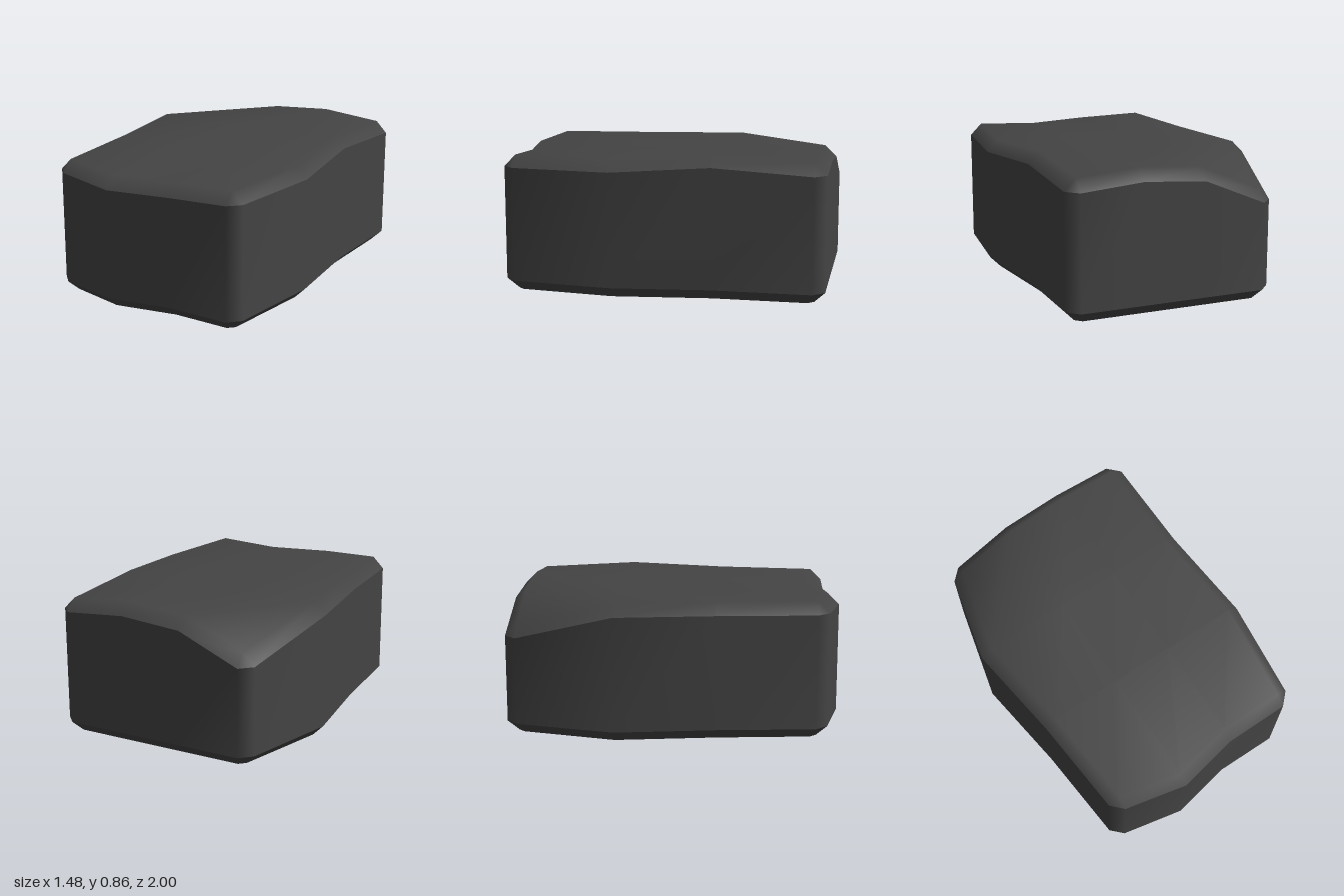
import * as THREE from 'three';

// Worn stone block: a 4 x 4 grid of top points, bevelled down to straight walls.
const BEVEL = 0.07, FOOT = 0.065;
const GRID_X = [-0.53, -0.155, 0.22, 0.6];
const GRID_Z = [-0.93, -0.335, 0.255, 0.85];
const HEIGHT = [ // rows run from back to front
  [0.66, 0.82, 0.85, 0.82],
  [0.82, 0.82, 0.82, 0.855],
  [0.82, 0.82, 0.82, 0.82],
  [0.82, 0.80, 0.80, 0.82],
];

function topPoint(i, j) {
  let x = GRID_X[i], z = GRID_Z[j];
  if (i === 0 && j === 1) x = -0.67;   // bulges in the sides
  if (i === 0 && j === 2) x = -0.585;
  if (i === 3 && j === 2) x = 0.665;
  if (i === 1 && j === 3) z = 0.925;
  return [x, HEIGHT[j][i], z];
}

// Outline of the walls, with each corner cut; each point remembers its grid point
function makeOutline() {
  const loop = [];
  const add = (i, j, dx, dz) => {
    const [x, y, z] = topPoint(i, j);
    loop.push({ grid: j * 4 + i, x: x + dx * BEVEL, y: y - BEVEL, z: z + dz * BEVEL, dx, dz });
  };
  for (let k = 0; k < 4; k++) add(k, 3, 0, 1);
  for (let k = 3; k >= 0; k--) add(3, k, 1, 0);
  for (let k = 3; k >= 0; k--) add(k, 0, 0, -1);
  for (let k = 0; k < 4; k++) add(0, k, -1, 0);
  return loop;
}

function makeGeometry(points, index) {
  const g = new THREE.BufferGeometry();
  g.setAttribute('position', new THREE.Float32BufferAttribute(points.flat(), 3));
  g.setIndex(index);
  g.computeVertexNormals();
  return g;
}

// Band of faces between a lower and an upper ring
function makeBand(lower, upper) {
  const n = lower.length, index = [];
  for (let a = 0; a < n; a++) {
    const b = (a + 1) % n;
    index.push(a, b, n + b, a, n + b, n + a);
  }
  return makeGeometry([...lower, ...upper], index);
}

function makeTop(loop) {
  const points = [], index = [];
  for (let j = 0; j < 4; j++) for (let i = 0; i < 4; i++) points.push(topPoint(i, j));
  for (let j = 0; j < 3; j++) for (let i = 0; i < 3; i++) {
    const back = j * 4 + i, front = back + 4;
    index.push(front, front + 1, back + 1, front, back + 1, back);
  }
  // bevel around the rim, with one triangle at each corner
  loop.forEach((p, a) => {
    const b = (a + 1) % loop.length, q = loop[b];
    points.push([p.x, p.y, p.z]);
    index.push(16 + a, 16 + b, q.grid);
    if (p.grid !== q.grid) index.push(16 + a, q.grid, p.grid);
  });
  return makeGeometry(points, index);
}

export function createModel() {
  const group = new THREE.Group();
  group.name = 'stoneBlock';
  const stone = new THREE.MeshStandardMaterial({ color: 0x444444 });
  stone.name = 'darkStone';
  const add = (name, geometry) => {
    const mesh = new THREE.Mesh(geometry, stone);
    mesh.name = name;
    group.add(mesh);
  };

  const loop = makeOutline();
  const rim = loop.map(p => [p.x, p.y, p.z]);
  const low = loop.map(p => [p.x, FOOT, p.z]);
  // the foot is drawn in along each wall, and along both axes at the cut corners
  const foot = loop.map((p, a) => {
    const near = [loop[(a + 15) % 16], loop[(a + 1) % 16]].find(q => q.grid === p.grid);
    const dx = p.dx + (near ? near.dx * 0.5 : 0), dz = p.dz + (near ? near.dz * 0.5 : 0);
    return [p.x - dx * FOOT, 0, p.z - dz * FOOT];
  });

  add('top', makeTop(loop));
  add('walls', makeBand(low, rim));
  add('lowerBevel', makeBand(foot, low));

  // flat underside
  const faces = THREE.ShapeUtils.triangulateShape(foot.map(p => new THREE.Vector2(p[0], -p[2])), []);
  add('underside', makeGeometry(foot, faces.flatMap(([a, b, c]) => [a, c, b])));
  return group;
}
